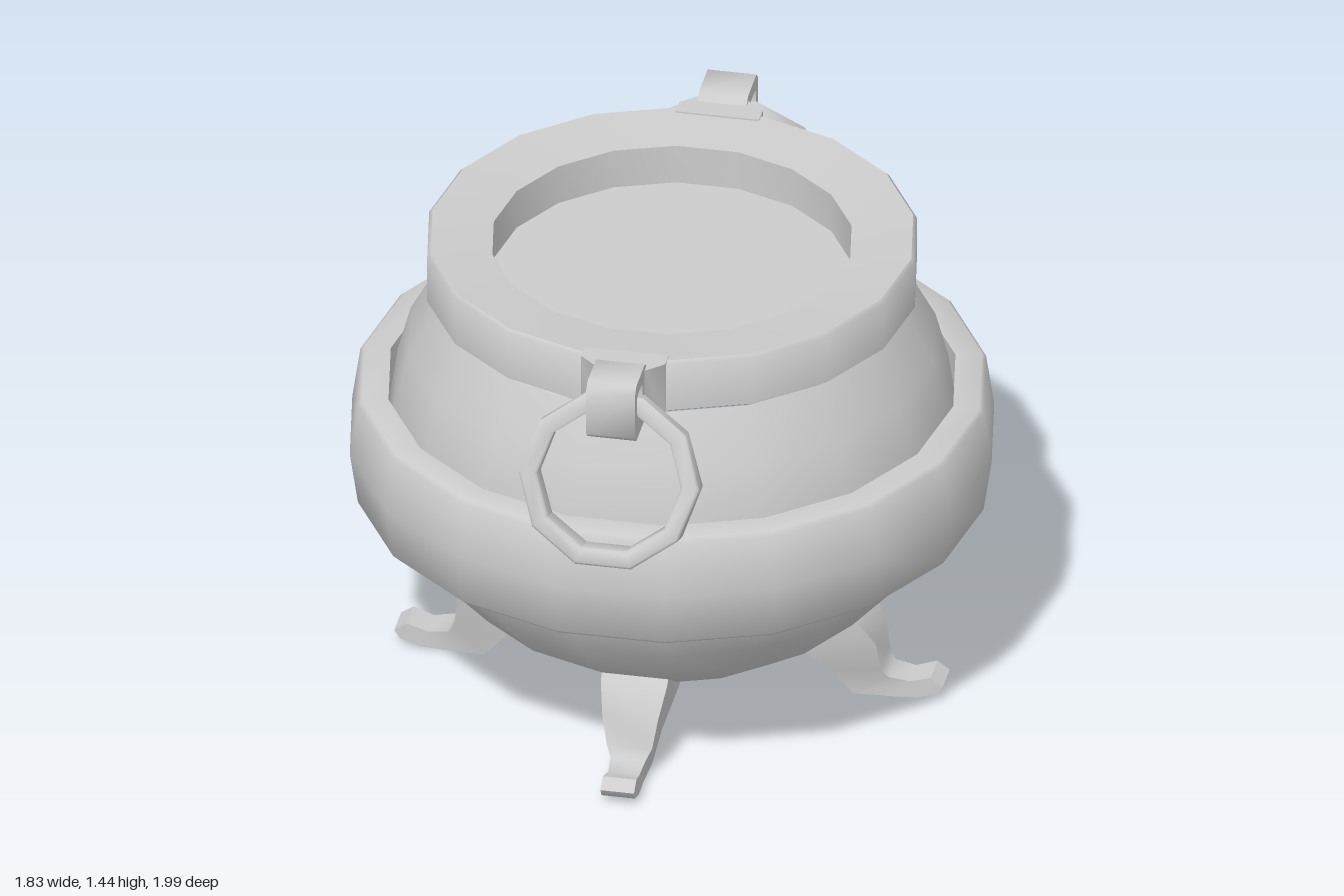
import * as THREE from 'three';
import { toCreasedNormals } from 'three/addons/utils/BufferGeometryUtils.js';

const material = new THREE.MeshStandardMaterial({ color: 0xcccccc });
const SIDES = 18;

function add(parent, name, geometry) {
  const mesh = new THREE.Mesh(geometry, material);
  mesh.name = name;
  parent.add(mesh);
  return mesh;
}

const toPoints = (list) => list.map(([a, b]) => new THREE.Vector2(a, b));
const turned = (profile, sides = SIDES) =>
  new THREE.LatheGeometry(toPoints(profile), sides, Math.PI / 2);
const crease = (geometry) => toCreasedNormals(geometry, 0.9);

// Leg: four-cornered sections swept from inside the bowl out to the toe
function legGeometry() {
  // front x, front y, back x, back y, half width
  const sections = [
    [0.46, 0.35, 0.30, 0.22, 0.095],
    [0.545, 0.27, 0.37, 0.17, 0.095],
    [0.60, 0.19, 0.42, 0.125, 0.08],
    [0.61, 0.10, 0.465, 0.08, 0.065],
    [0.63, 0.07, 0.53, 0.005, 0.05],
    [0.69, 0.06, 0.64, 0.005, 0.045],
    [0.75, 0.08, 0.71, 0.01, 0.048],
    [0.785, 0.055, 0.77, 0.03, 0.048],
  ];
  const positions = [];
  const index = [];
  sections.forEach(([fx, fy, bx, by, w], s) => {
    positions.push(fx, fy, w, fx, fy, -w, bx, by, -w, bx, by, w);
    if (s === sections.length - 1) return;
    for (let i = 0; i < 4; i++) {
      const a = s * 4 + i, b = s * 4 + ((i + 1) % 4);
      index.push(a, a + 4, b + 4, a, b + 4, b);
    }
  });
  const e = (sections.length - 1) * 4;
  index.push(0, 1, 2, 0, 2, 3, e, e + 3, e + 2, e, e + 2, e + 1);
  const geometry = new THREE.BufferGeometry();
  geometry.setAttribute('position', new THREE.Float32BufferAttribute(positions, 3));
  geometry.setIndex(index);
  return crease(geometry);
}

// Hanging ring: ten-sided band, deeper at the bottom than at the top
function ringGeometry() {
  const geometry = turned([
    [0.206, 0.037], [0.206, -0.037], [0.214, -0.045], [0.25, -0.045],
    [0.258, -0.037], [0.258, 0.037], [0.25, 0.045], [0.214, 0.045], [0.206, 0.037],
  ], 10);
  geometry.rotateX(Math.PI / 2);
  const p = geometry.attributes.position;
  for (let i = 0; i < p.count; i++) {
    p.setZ(i, p.getZ(i) * (0.78 - 1.1 * p.getY(i)));
  }
  return crease(geometry);
}

// Square eye that carries the ring
function eyeGeometry() {
  const shape = new THREE.Shape(toPoints([
    [0.68, 1.27], [0.72, 1.27], [0.75, 1.26], [0.86, 1.26], [0.88, 1.28],
    [0.88, 1.42], [0.86, 1.44], [0.74, 1.44], [0.70, 1.41], [0.68, 1.41],
  ]));
  shape.holes.push(new THREE.Path(toPoints([
    [0.775, 1.34], [0.775, 1.39], [0.785, 1.40], [0.84, 1.40],
    [0.85, 1.39], [0.85, 1.34], [0.84, 1.33], [0.785, 1.33],
  ])));
  const geometry = new THREE.ExtrudeGeometry(shape, { depth: 0.14, bevelEnabled: false });
  geometry.translate(0, 0, -0.07).rotateY(-Math.PI / 2);
  return crease(geometry);
}

// Flared foot joining the eye to the rim
function eyeBaseGeometry() {
  const shape = new THREE.Shape(toPoints([
    [-0.12, 0.65], [0.12, 0.65], [0.12, 0.70], [0.07, 0.745],
    [0.07, 0.765], [-0.07, 0.765], [-0.07, 0.745], [-0.12, 0.70],
  ]));
  const geometry = new THREE.ExtrudeGeometry(shape, { depth: 0.16, bevelEnabled: false });
  geometry.rotateX(Math.PI / 2).translate(0, 1.422, 0);
  return crease(geometry);
}

export function createModel() {
  const model = new THREE.Group();
  model.name = 'cauldron';

  // Bowl: flat bottom, rounded belly, then shoulder and neck
  add(model, 'bowl', turned([
    [0, 0.13], [0.23, 0.133], [0.425, 0.205], [0.592, 0.322], [0.717, 0.465],
    [0.785, 0.61], [0.81, 0.78], [0.785, 0.95], [0.748, 1.09], [0.665, 1.24],
  ]));

  // Broad band around the belly
  add(model, 'bellyBand', crease(turned([
    [0.805, 0.95], [0.805, 0.61], [0.88, 0.61], [0.892, 0.622], [0.915, 0.78],
    [0.892, 0.938], [0.88, 0.95], [0.805, 0.95],
  ])));

  // Rim collar, dipping slightly inward, and the level surface inside it
  add(model, 'rim', crease(turned([
    [0.51, 1.40], [0.51, 1.24], [0.66, 1.24], [0.695, 1.262],
    [0.695, 1.41], [0.685, 1.42], [0.51, 1.40],
  ])));
  add(model, 'contents', turned([[0.515, 1.28], [0, 1.28]]));

  // Ring handles at front and back
  const eye = eyeGeometry(), base = eyeBaseGeometry(), ring = ringGeometry();
  ['frontHandle', 'backHandle'].forEach((name, i) => {
    const handle = new THREE.Group();
    handle.name = name;
    add(handle, 'eye', eye);
    add(handle, 'eyeBase', base);
    const hoop = add(handle, 'ring', ring);
    hoop.position.set(0, 1.138, 0.877);
    hoop.rotation.x = -0.32;
    handle.rotation.y = i * Math.PI;
    model.add(handle);
  });

  // Four legs
  const leg = legGeometry();
  ['leftLeg', 'backLeg', 'rightLeg', 'frontLeg'].forEach((name, i) => {
    add(model, name, leg).rotation.y = i * Math.PI / 2;
  });

  return model;
}
